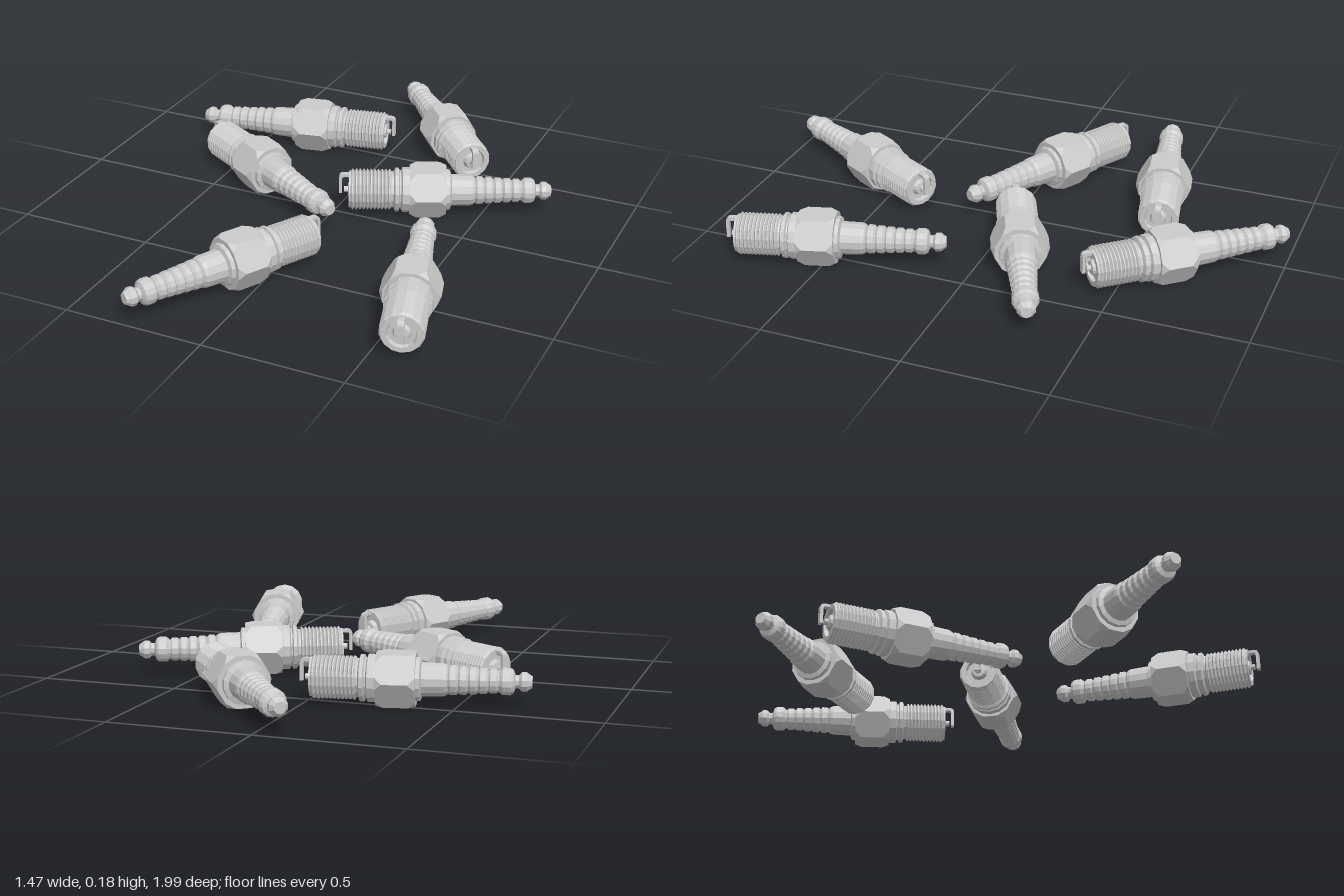
import * as THREE from 'three';
import { ConvexGeometry } from 'three/addons/geometries/ConvexGeometry.js';

const material = new THREE.MeshStandardMaterial({ color: 0xcccccc, flatShading: true, side: THREE.DoubleSide });
const AXIS_HEIGHT = 0.088;

function mesh(name, geometry) {
  const m = new THREE.Mesh(geometry, material);
  m.name = name;
  return m;
}

// Turned part: [radius, position] pairs, axis along +z
function turned(name, profile, sides = 14) {
  const geometry = new THREE.LatheGeometry(profile.map(([r, p]) => new THREE.Vector2(r, p)), sides);
  return mesh(name, geometry.rotateX(Math.PI / 2));
}

// Ribbed ceramic body, widening towards the nut
function insulator() {
  const profile = [[0.022, -0.392], [0.04, -0.385], [0.046, -0.375], [0.046, -0.35], [0.036, -0.338]];
  for (let i = 0; i < 5; i++) {
    const p = -0.335 + i * 0.033, r = 0.042 + i * 0.0022;
    profile.push([r - 0.006, p], [r, p + 0.006], [r, p + 0.025], [r - 0.006, p + 0.031]);
  }
  profile.push([0.052, -0.166], [0.056, -0.155], [0.058, -0.085], [0.074, -0.08], [0.076, -0.055]);
  return turned('insulator', profile);
}

// Hexagonal nut with clipped corners, resting on a flat
function hexNut() {
  const points = [];
  const apothem = AXIS_HEIGHT, corner = apothem / Math.cos(Math.PI / 6);
  for (let i = 0; i < 6; i++) {
    const a = (i * Math.PI) / 3, b = a + Math.PI / 6;
    for (const s of [-1, 1]) {
      points.push(new THREE.Vector3(corner * Math.cos(a), corner * Math.sin(a), s * 0.042));
      for (const t of [-0.026, 0.026]) {
        points.push(new THREE.Vector3(
          apothem * Math.cos(b) - t * Math.sin(b),
          apothem * Math.sin(b) + t * Math.cos(b), s * 0.066));
      }
    }
  }
  return mesh('hexNut', new ConvexGeometry(points));
}

// Collar and sealing ring between nut and thread
function collar() {
  return turned('collar', [
    [0.078, 0.055], [0.082, 0.07], [0.082, 0.092], [0.07, 0.097], [0.07, 0.102],
    [0.08, 0.106], [0.08, 0.118], [0.066, 0.124], [0.066, 0.135],
  ]);
}

// Threaded shell, closing into a recessed end
function threadedShell() {
  const profile = [];
  const turns = 11, pitch = 0.0133;
  for (let i = 0; i < turns; i++) {
    const p = 0.132 + i * pitch;
    profile.push([0.066, p], [0.074, p + pitch * 0.35], [0.074, p + pitch * 0.65]);
  }
  profile.push([0.067, 0.279], [0.067, 0.286], [0.05, 0.286], [0.046, 0.272], [0.03, 0.272]);
  return turned('threadedShell', profile);
}

// Bent strap from the rim over the centre electrode
function groundElectrode() {
  const shape = new THREE.Shape();
  shape.moveTo(0.28, 0.064);
  shape.lineTo(0.306, 0.064);
  shape.quadraticCurveTo(0.322, 0.064, 0.322, 0.044);
  shape.lineTo(0.322, -0.012);
  shape.lineTo(0.311, -0.012);
  shape.lineTo(0.311, 0.044);
  shape.quadraticCurveTo(0.311, 0.053, 0.302, 0.053);
  shape.lineTo(0.28, 0.053);
  const geometry = new THREE.ExtrudeGeometry(shape, { depth: 0.022, bevelEnabled: false, curveSegments: 4 });
  geometry.translate(0, 0, -0.011).rotateY(-Math.PI / 2);
  return mesh('groundElectrode', geometry);
}

function sparkPlug() {
  const plug = new THREE.Group();
  plug.add(
    turned('terminal', [
      [0, -0.447], [0.02, -0.447], [0.024, -0.44], [0.033, -0.428], [0.033, -0.412],
      [0.023, -0.403], [0.023, -0.385],
    ], 10),
    insulator(),
    hexNut(),
    collar(),
    threadedShell(),
    turned('insulatorNose', [[0.032, 0.268], [0.024, 0.288], [0.01, 0.29]], 12),
    turned('centreElectrode', [[0.011, 0.286], [0.011, 0.304], [0, 0.304]], 10),
    groundElectrode(),
  );
  return plug;
}

export function createModel() {
  const model = new THREE.Group();
  model.name = 'sparkPlugs';
  // Nut position (x, z) and direction towards the electrode (x, z)
  const layout = [
    [0.196, -0.64, 0.641, 0.768],
    [-0.3, -0.474, 0.978, -0.21],
    [-0.328, -0.068, -0.867, -0.5],
    [0.312, -0.138, -0.914, 0.405],
    [0.524, 0.529, 0.276, 0.961],
    [-0.069, 0.593, 0.483, -0.876],
  ];
  layout.forEach(([x, z, dx, dz], i) => {
    const plug = sparkPlug();
    plug.name = `sparkPlug${i + 1}`;
    plug.position.set(x, AXIS_HEIGHT, z);
    plug.rotation.y = Math.atan2(dx, dz);
    model.add(plug);
  });
  return model;
}
